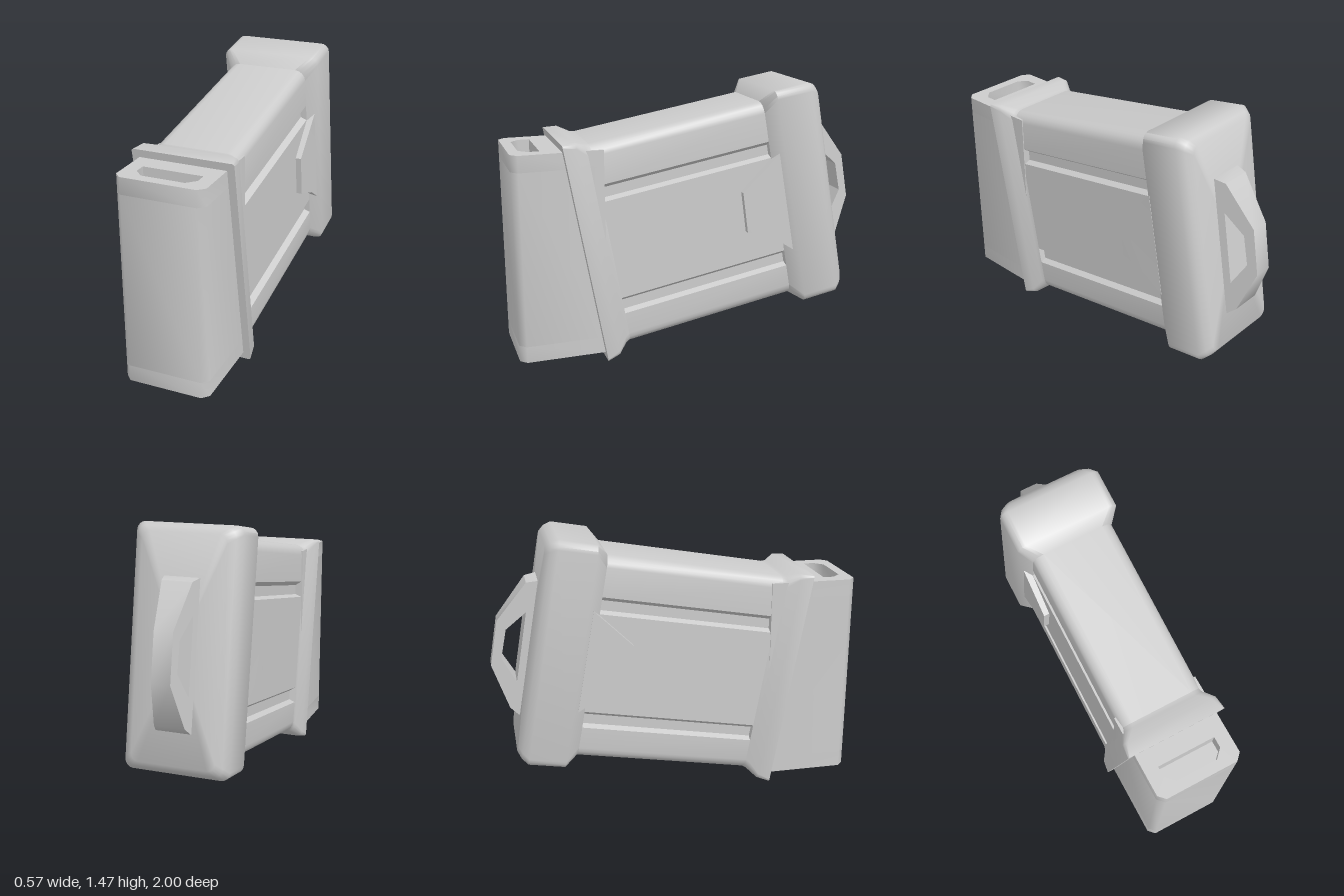
import * as THREE from 'three';
import { toCreasedNormals } from 'three/addons/utils/BufferGeometryUtils.js';

const TILT = 0.1745;
const grey = new THREE.MeshStandardMaterial({ color: 0xcccccc });

function part(name, geometry, crease = 0.85) {
  const mesh = new THREE.Mesh(toCreasedNormals(geometry, crease), grey);
  mesh.name = name;
  return mesh;
}

const vecs = (pts) => pts.map(([x, y]) => new THREE.Vector2(x, y));

// Quarter-circle corner points, counter-clockwise
function corner(cx, cy, r, start, n = 4) {
  return Array.from({ length: n + 1 }, (_, i) => {
    const a = start + (i / n) * Math.PI / 2;
    return [cx + r * Math.cos(a), cy + r * Math.sin(a)];
  });
}

// Rounded rectangle; optional extra points are set into both long sides
function outline(hw, y0, y1, r, sidePoints = []) {
  const half = [
    ...corner(hw - r, y0 + r, r, -Math.PI / 2),
    ...sidePoints,
    ...corner(hw - r, y1 - r, r, 0),
  ];
  return [...half, ...half.map(([x, y]) => [-x, y]).reverse()];
}

// Closed skin through rounded rectangles [z, halfWidth, bottom, top, radius], from low z to high z
function loft(sections) {
  const pos = [], idx = [];
  const rings = sections.map(([z, ...s]) => outline(...s).map(([x, y]) => [x, y, z]));
  const n = rings[0].length;
  rings.forEach((ring) => ring.forEach((p) => pos.push(...p)));
  for (let k = 0; k < rings.length - 1; k++) {
    for (let i = 0; i < n; i++) {
      const j = (i + 1) % n, a = k * n, b = a + n;
      idx.push(a + i, a + j, b + j, a + i, b + j, b + i);
    }
  }
  const last = (rings.length - 1) * n;
  const centre = rings.length * n;
  for (const s of [sections[0], sections[sections.length - 1]]) pos.push(0, (s[2] + s[3]) / 2, s[0]);
  for (let i = 0; i < n; i++) {
    const j = (i + 1) % n;
    idx.push(centre, j, i, centre + 1, last + i, last + j);
  }
  const g = new THREE.BufferGeometry();
  g.setAttribute('position', new THREE.Float32BufferAttribute(pos, 3));
  g.setIndex(idx);
  return g;
}

// Side profile (z, y) extruded across x, with the half width given by a rule of z and y
function sideProfile(points, hole, halfWidth) {
  const shape = new THREE.Shape(vecs(points));
  if (hole) shape.holes.push(new THREE.Path(vecs(hole)));
  const g = new THREE.ExtrudeGeometry(shape, { depth: 2, bevelEnabled: false });
  g.translate(0, 0, -1).rotateY(-Math.PI / 2);
  const p = g.attributes.position;
  for (let i = 0; i < p.count; i++) p.setX(i, p.getX(i) * halfWidth(p.getZ(i), p.getY(i)));
  return g;
}

// Horizontal slab (x, z) between two heights
function slab(points, hole, bottom, top) {
  const shape = new THREE.Shape(vecs(points));
  if (hole) shape.holes.push(new THREE.Path(vecs(hole)));
  const g = new THREE.ExtrudeGeometry(shape, { depth: top - bottom, bevelEnabled: false });
  return g.rotateX(Math.PI / 2).translate(0, top, 0);
}

export function createModel() {
  const model = new THREE.Group();
  model.name = 'casing';

  const tilted = new THREE.Group();
  tilted.name = 'tiltedHousing';
  tilted.rotation.x = TILT;
  model.add(tilted);

  // Main body with two long grooves on each side
  const grooves = [[0.32, 0.413], [0.968, 1.061]].flatMap(([lo, hi]) => [
    [0.23, lo], [0.195, lo + 0.014], [0.195, hi - 0.024], [0.23, hi],
  ]);
  const bodyShape = new THREE.Shape(vecs(outline(0.23, 0.138, 1.28, 0.06, grooves)));
  const body = new THREE.ExtrudeGeometry(bodyShape, { depth: 0.972, bevelEnabled: false });
  body.translate(0, 0, -0.6);
  tilted.add(part('body', body, 0.5));

  // Front collar flaring out to a square-edged rim
  tilted.add(part('frontCollar', loft([
    [0.372, 0.23, 0.138, 1.28, 0.06],
    [0.395, 0.235, 0.13, 1.285, 0.055],
    [0.45, 0.268, 0.1, 1.318, 0.03],
    [0.522, 0.275, 0.091, 1.322, 0.012],
  ])));

  // Bulky rear cap
  tilted.add(part('rearCap', loft([
    [-0.929, 0.225, 0.14, 1.288, 0.04],
    [-0.905, 0.26, 0.112, 1.316, 0.045],
    [-0.867, 0.285, 0.088, 1.336, 0.045],
    [-0.665, 0.285, 0.088, 1.336, 0.045],
    [-0.6, 0.23, 0.138, 1.28, 0.06],
  ])));

  // Raised lugs reaching forward from the cap on both sides
  tilted.add(part('sideLugs', sideProfile(
    [[-0.398, 0.823], [-0.64, 0.99], [-0.64, 0.42], [-0.55, 0.503], [-0.389, 0.591]],
    null,
    (z) => (z > -0.45 ? 0.262 : 0.266),
  )));

  // Rear carrying handle, tapering away from the cap
  tilted.add(part('handle', sideProfile(
    [[-0.9, 1.075], [-0.93, 1.075], [-0.988, 1.055], [-1.113, 0.82],
      [-1.113, 0.565], [-0.985, 0.344], [-0.935, 0.312], [-0.9, 0.312]],
    [[-0.968, 0.895], [-1.06, 0.78], [-1.064, 0.616], [-0.967, 0.497]],
    (z) => THREE.MathUtils.mapLinear(z, -0.93, -1.113, 0.095, 0.05),
  ), 0.6));

  // Upright front block with a pocket in its top and bottom
  const block = new THREE.Group();
  block.name = 'frontBlock';
  const plan = [[-0.235, 0.52], [0.235, 0.52], [0.235, 0.965], [0.2, 1], [-0.2, 1], [-0.235, 0.965]];
  const pocket = (back) => [
    [-0.16, back], [0.16, back], [0.16, 0.9], [0.115, 0.945], [-0.115, 0.945], [-0.16, 0.9],
  ];
  block.add(
    part('blockTop', slab(plan, pocket(0.84), 1.08, 1.17)),
    part('blockMiddle', slab(plan, null, 0.13, 1.08)),
    part('blockBottom', slab(plan, pocket(0.62), 0.04, 0.13)),
  );
  model.add(block);
  return model;
}
